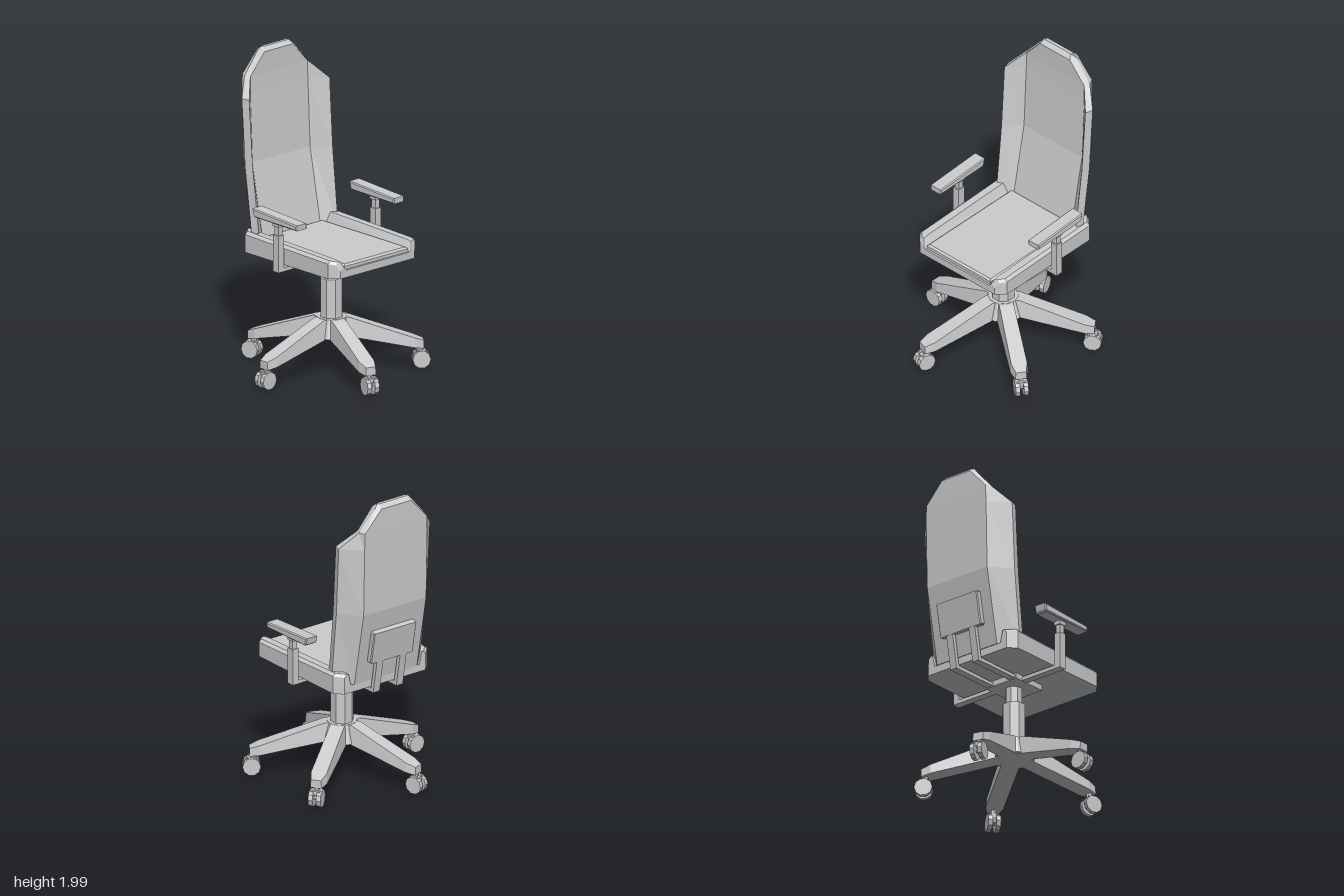
import * as THREE from 'three';

const material = new THREE.MeshStandardMaterial({ color: 0xcccccc, flatShading: true });

function add(parent, name, geometry, x = 0, y = 0, z = 0) {
  const mesh = new THREE.Mesh(geometry, material);
  mesh.name = name;
  mesh.position.set(x, y, z);
  parent.add(mesh);
  return mesh;
}

// Box given by its limits on each axis
function block(parent, name, [x0, x1], [y0, y1], [z0, z1]) {
  return add(parent, name, new THREE.BoxGeometry(x1 - x0, y1 - y0, z1 - z0),
    (x0 + x1) / 2, (y0 + y1) / 2, (z0 + z1) / 2);
}

// Skin over closed rings; the end caps join point i to point n-1-i
function loft(rings) {
  const n = rings[0].length, tris = [];
  const quad = (a, b, c, d) => tris.push([a, b, c], [a, c, d]);
  for (let k = 0; k < rings.length - 1; k++) {
    for (let i = 0; i < n; i++) {
      const j = (i + 1) % n;
      quad(rings[k][i], rings[k][j], rings[k + 1][j], rings[k + 1][i]);
    }
  }
  const first = rings[0], last = rings[rings.length - 1];
  for (let i = 0; i < n / 2 - 1; i++) {
    quad(first[i], first[n - 1 - i], first[n - 2 - i], first[i + 1]);
    quad(last[i], last[i + 1], last[n - 2 - i], last[n - 1 - i]);
  }
  // Turn the faces outward when the enclosed volume is negative
  let volume = 0;
  const [a, b, c] = [0, 1, 2].map(() => new THREE.Vector3());
  for (const t of tris) {
    a.fromArray(t[0]); b.fromArray(t[1]); c.fromArray(t[2]);
    volume += a.dot(b.cross(c));
  }
  if (volume < 0) tris.forEach((t) => t.reverse());
  const geometry = new THREE.BufferGeometry();
  geometry.setAttribute('position', new THREE.Float32BufferAttribute(tris.flat(2), 3));
  geometry.computeVertexNormals();
  return geometry;
}

// Side profile in x and y, extruded across z with small bevels
function profile(points, width, bevel) {
  const shape = new THREE.Shape(points.map(([x, y]) => new THREE.Vector2(x, y)));
  const geometry = new THREE.ExtrudeGeometry(shape, {
    depth: width - 2 * bevel, bevelEnabled: bevel > 0, bevelSize: bevel,
    bevelThickness: bevel, bevelOffset: -bevel, bevelSegments: 1,
  });
  return geometry.translate(0, 0, bevel - width / 2);
}

// Cross-section of the seat at x: raised sides around a lower floor
function seatRing([x, w, top]) {
  const inner = Math.min(0.3, w - 0.03);
  const half = [[w, top - 0.018], [w - 0.018, top], [inner, top], [0.266, 0.8]];
  const upper = [...half.map(([z, y]) => [-z, y]), ...half.slice().reverse()];
  const lower = upper.map(([z]) => [z, 0.752]).reverse();
  return [...upper, ...lower].map(([z, y]) => [x, y, z]);
}

// Cross-section of the backrest at y: flat middle, wings bent forward
function backRing([y, centre, wing, front, wingFront, wingBack, back]) {
  return [
    [wingFront, y, -wing + 0.015], [front, y, -centre], [front, y, centre], [wingFront, y, wing - 0.015],
    [wingBack, y, wing], [back, y, centre], [back, y, -centre], [wingBack, y, -wing],
  ];
}

function buildBase() {
  const base = new THREE.Group();
  base.name = 'base';
  add(base, 'hub', new THREE.CylinderGeometry(0.095, 0.13, 0.118, 10), 0, 0.296, 0);
  add(base, 'lowerColumn', new THREE.CylinderGeometry(0.073, 0.073, 0.26, 8).rotateY(Math.PI / 8), 0, 0.475, 0);
  add(base, 'upperColumn', new THREE.CylinderGeometry(0.053, 0.053, 0.13, 8).rotateY(Math.PI / 8), 0, 0.66, 0);

  // Distance from the centre, top height, bottom height, half widths
  const legRings = [
    [0.03, 0.355, 0.24, 0.045, 0.058], [0.105, 0.353, 0.232, 0.045, 0.058],
    [0.51, 0.205, 0.143, 0.05, 0.056], [0.57, 0.182, 0.13, 0.032, 0.036],
  ].map(([r, t, b, wt, wb]) => [[-wt, t, r], [wt, t, r], [wb, b, r], [-wb, b, r]]);
  const legGeometry = loft(legRings);

  for (let i = 0; i < 5; i++) {
    const spoke = new THREE.Group();
    spoke.name = 'legWithCaster';
    spoke.rotation.y = (i * Math.PI * 2) / 5;
    add(spoke, 'leg', legGeometry);
    add(spoke, 'casterStem', new THREE.CylinderGeometry(0.02, 0.02, 0.09, 8), 0, 0.1, 0.545);
    block(spoke, 'casterHousing', [-0.03, 0.03], [0.085, 0.112], [0.525, 0.585]);
    for (const s of [-1, 1]) {
      add(spoke, 'casterWheel', new THREE.CylinderGeometry(0.057, 0.057, 0.028, 10).rotateZ(Math.PI / 2),
        s * 0.026, 0.06, 0.556);
    }
    add(spoke, 'casterAxle', new THREE.CylinderGeometry(0.015, 0.015, 0.05, 8).rotateZ(Math.PI / 2), 0, 0.06, 0.556);
    base.add(spoke);
  }
  return base;
}

function buildSeat() {
  const seat = new THREE.Group();
  seat.name = 'seat';
  add(seat, 'seatShell', loft([
    [-0.44, 0.315, 0.88], [-0.39, 0.366, 0.885], [0.355, 0.366, 0.864], [0.39, 0.335, 0.858], [0.41, 0.312, 0.818],
  ].map(seatRing)));
  // Pad with a small bevel around its top
  const pad = [[0.79, 0], [0.82, 0], [0.832, 0.012]].map(([y, d]) => [
    [-0.37 + d, y, -0.268 + d], [0.397 - d, y, -0.268 + d], [0.397 - d, y, 0.268 - d], [-0.37 + d, y, 0.268 - d],
  ]);
  add(seat, 'seatPad', loft(pad));
  block(seat, 'mountingPlate', [-0.125, 0.12], [0.716, 0.755], [-0.124, 0.124]);
  return seat;
}

function buildBackrest() {
  const rest = new THREE.Group();
  rest.name = 'backrest';
  add(rest, 'backrestShell', loft([
    [0.8, 0.243, 0.345, -0.36, -0.295, -0.345, -0.445],
    [1.29, 0.243, 0.352, -0.455, -0.352, -0.405, -0.538],
    [1.73, 0.243, 0.355, -0.475, -0.382, -0.432, -0.548],
    [1.84, 0.24, 0.258, -0.477, -0.474, -0.51, -0.55],
    [1.975, 0.115, 0.14, -0.473, -0.473, -0.52, -0.55],
    [2.0, 0.105, 0.12, -0.5, -0.5, -0.512, -0.522],
  ].map(backRing)));
  add(rest, 'lumbarPlate', profile([[-0.547, 1.15], [-0.495, 1.162], [-0.455, 0.945], [-0.508, 0.937]], 0.33, 0.006));
  // Bent struts from the lumbar plate to the underside of the seat
  const strut = [[-0.51, 0.96], [-0.468, 0.72], [-0.1, 0.72], [-0.1, 0.74], [-0.445, 0.745], [-0.483, 0.96]];
  for (const s of [-1, 1]) add(rest, 'backStrut', profile(strut, 0.05, 0), 0, 0, s * 0.09);
  return rest;
}

function buildArms() {
  const arms = new THREE.Group();
  arms.name = 'armrests';
  block(arms, 'armCrossbar', [-0.07, -0.02], [0.718, 0.742], [-0.432, 0.432]);
  const pad = [[-0.227, 1.05], [-0.215, 1.037], [0.165, 1.032], [0.165, 1.068], [-0.235, 1.09]];
  for (const s of [-1, 1]) {
    const z = s * 0.41;
    block(arms, 'armSleeve', [-0.071, -0.019], [0.718, 0.955], [z - 0.023, z + 0.023]);
    block(arms, 'armPost', [-0.063, -0.027], [0.94, 1.04], [z - 0.017, z + 0.017]);
    block(arms, 'armCollar', [-0.072, -0.018], [1.01, 1.045], [z - 0.024, z + 0.024]);
    add(arms, 'armPad', profile(pad, 0.09, 0.007), 0, 0, z);
  }
  return arms;
}

export function createModel() {
  const chair = new THREE.Group();
  chair.name = 'officeChair';
  const base = buildBase();
  base.position.x = -0.005;
  const body = new THREE.Group();
  body.name = 'chairBody';
  body.add(base, buildSeat(), buildBackrest(), buildArms());
  body.position.z = -0.046;
  chair.add(body);
  return chair;
}
